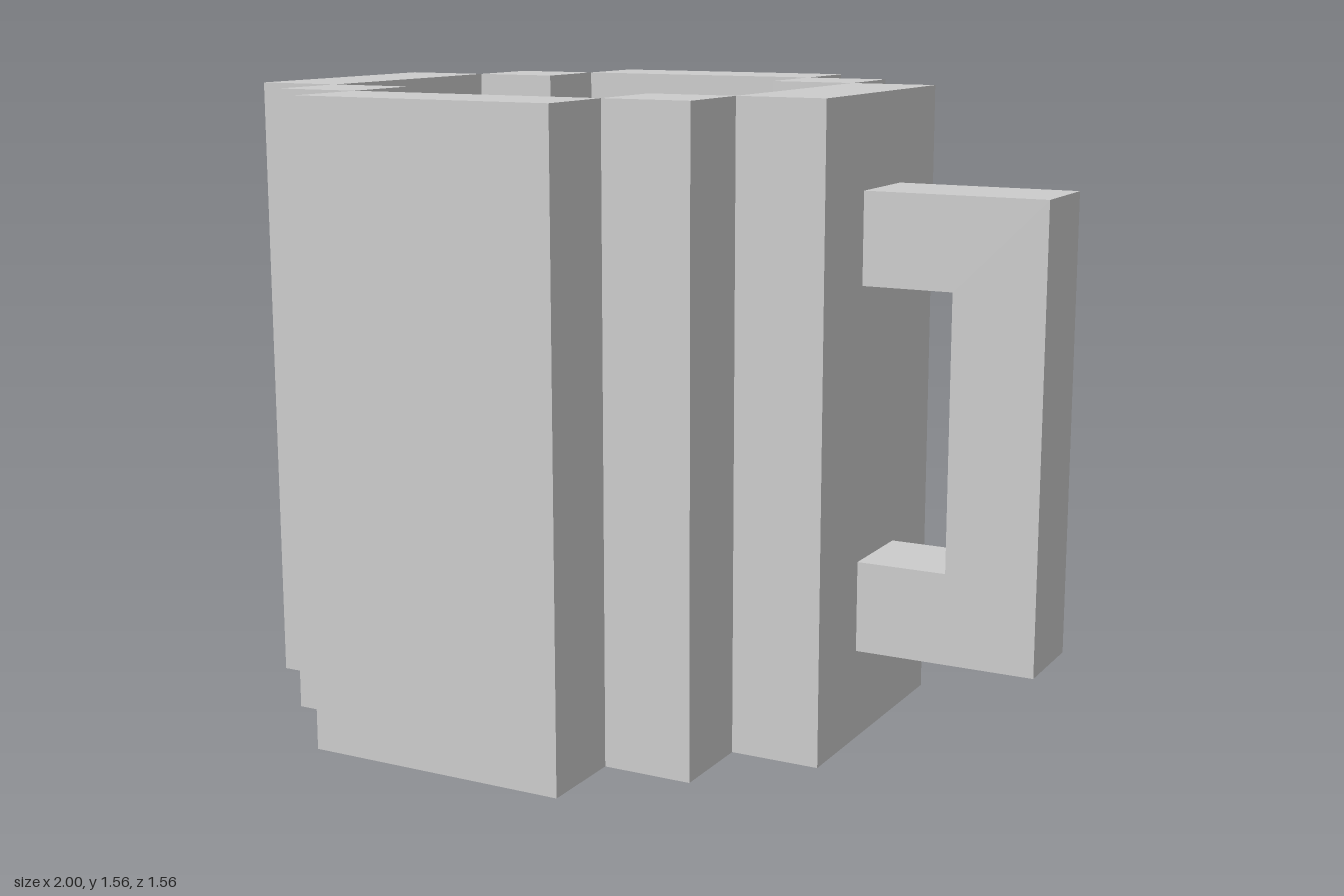
import * as THREE from 'three';
import { mergeGeometries } from 'three/addons/utils/BufferGeometryUtils.js';

const U = 2 / 9; // one block

// Repeat a quarter of a stepped outline four times around the axis
function outline(quarter) {
  const points = [];
  let part = quarter;
  for (let i = 0; i < 4; i++) {
    points.push(...part);
    part = part.map(([x, z]) => [-z, x]);
  }
  return points;
}

// Upright faces along an outline; side = 1 faces outward, -1 inward
function skin(points, y0, y1, side) {
  return points.map(([ax, az], i) => {
    const [bx, bz] = points[(i + 1) % points.length];
    const dx = bx - ax, dz = bz - az;
    return new THREE.PlaneGeometry(Math.hypot(dx, dz), y1 - y0)
      .rotateY(Math.atan2(dz * side, -dx * side))
      .translate((ax + bx) / 2, (y0 + y1) / 2, (az + bz) / 2);
  });
}

// Level face filling an outline; side = 1 faces up, -1 down
function level(points, y, side) {
  const shape = new THREE.Shape(points.map(([x, z]) => new THREE.Vector2(x, -z * side)));
  return new THREE.ShapeGeometry(shape).rotateX(-side * Math.PI / 2).translate(0, y, 0);
}

export function createModel() {
  const group = new THREE.Group();
  group.name = 'mug';
  const material = new THREE.MeshStandardMaterial({ color: 0xcccccc, flatShading: true });
  const add = (name, geometry) => {
    const mesh = new THREE.Mesh(geometry.scale(U, U, U), material);
    mesh.name = name;
    group.add(mesh);
    return mesh;
  };

  const outer = outline([[3.5, -1.5], [3.5, 1.5], [2.5, 1.5], [2.5, 2.5], [1.5, 2.5]]);
  const inner = outline([[2.5, 1.5], [1.5, 1.5], [1.5, 2.5]]);

  // Rim: four long wall tops and four corner tops
  const rim = [];
  for (let i = 0; i < 4; i++) {
    for (const [w, d, x, z] of [[1, 3, 3, 0], [1, 1, 2, 2]]) {
      rim.push(new THREE.PlaneGeometry(w, d).rotateX(-Math.PI / 2)
        .translate(x, 7, z).rotateY(i * Math.PI / 2));
    }
  }

  // Hollow stepped cup, open at the top
  const cup = add('cup', mergeGeometries([
    ...skin(outer, 0, 7, 1),
    ...skin(inner, 1, 7, -1),
    ...rim,
    level(outer, 0, -1),
    level(inner, 1, 1),
  ]));
  cup.position.x = -U;

  // Square C-shaped handle on the left side
  const profile = [[2.5, 1], [4.5, 1], [4.5, 6], [2.5, 6], [2.5, 5], [3.5, 5], [3.5, 2], [2.5, 2]];
  const handleShape = new THREE.Shape(profile.map(([x, y]) => new THREE.Vector2(x, y)));
  add('handle', new THREE.ExtrudeGeometry(handleShape, { depth: 1, bevelEnabled: false })
    .translate(0, 0, -0.5));

  return group;
}
